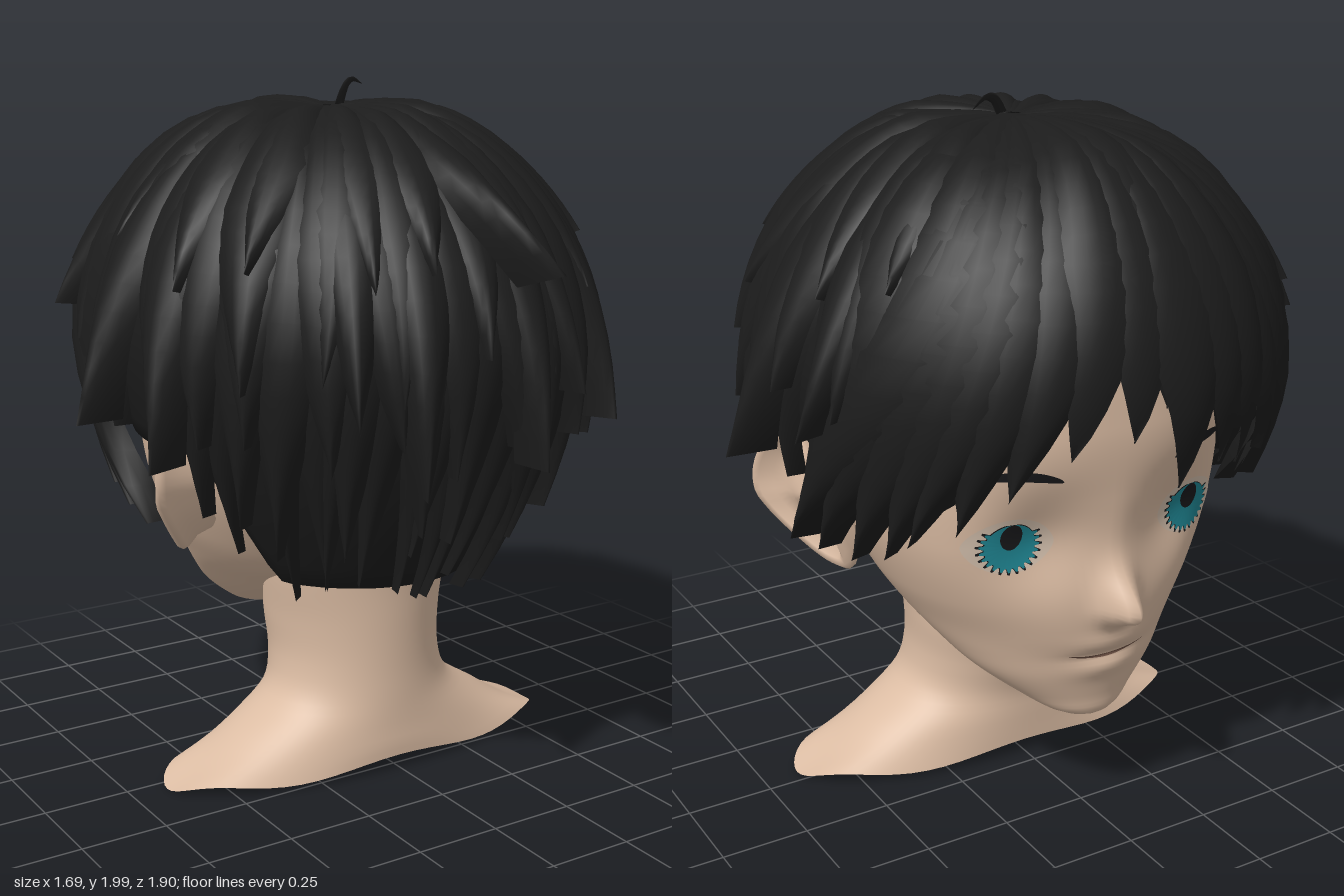
import * as THREE from 'three';

const mat = (name, color) => {
  const m = new THREE.MeshStandardMaterial({ color, side: THREE.DoubleSide });
  m.name = name;
  return m;
};
const { sin, cos, PI, sqrt, exp, abs, min, max, pow } = Math;
const lerp = THREE.MathUtils.lerp, smooth = THREE.MathUtils.smoothstep;

// Skin a list of equally long point rows; closed rows wrap around
function loft(rows, closed) {
  const n = rows[0].length, index = [];
  for (let i = 0; i < rows.length - 1; i++)
    for (let j = 0; j < (closed ? n : n - 1); j++) {
      const a = i * n + j, b = i * n + (j + 1) % n;
      index.push(a, b, a + n, b, b + n, a + n);
    }
  const g = new THREE.BufferGeometry();
  g.setAttribute('position', new THREE.Float32BufferAttribute(rows.flat(2), 3));
  g.setIndex(index);
  g.computeVertexNormals();
  return g;
}

// Smooth interpolation through [y, halfWidth, zFront, zBack] sections
function sections(table) {
  const slope = (i, k) => {
    const a = table[max(i - 1, 0)], b = table[min(i + 1, table.length - 1)];
    return (b[k] - a[k]) / (b[0] - a[0]);
  };
  return (y) => {
    let i = 0;
    while (i < table.length - 2 && y > table[i + 1][0]) i++;
    const a = table[i], b = table[i + 1], h = b[0] - a[0];
    const t = min(1, max(0, (y - a[0]) / h)), u = 1 - t;
    return [1, 2, 3].map((k) => a[k] * u * u * (1 + 2 * t) + b[k] * t * t * (3 - 2 * t)
      + h * t * u * (u * slope(i, k) - t * slope(i + 1, k)));
  };
}

const headAt = sections([
  [0.31, 0.03, -0.55, -0.49], [0.33, 0.1, -0.575, -0.42], [0.38, 0.18, -0.585, -0.28],
  [0.46, 0.28, -0.605, -0.1], [0.53, 0.34, -0.62, 0.05], [0.6, 0.39, -0.64, 0.2],
  [0.7, 0.45, -0.65, 0.3], [0.85, 0.51, -0.655, 0.42], [1.0, 0.54, -0.665, 0.5],
  [1.2, 0.55, -0.67, 0.53], [1.45, 0.52, -0.62, 0.5], [1.65, 0.41, -0.46, 0.4],
  [1.78, 0.2, -0.25, 0.2], [1.82, 0.02, -0.05, 0]]);
const neckAt = sections([
  [0.04, 0.645, -0.2, 0.29], [0.08, 0.53, -0.2, 0.29], [0.14, 0.41, -0.2, 0.285],
  [0.22, 0.295, -0.2, 0.28], [0.32, 0.26, -0.225, 0.275], [0.45, 0.265, -0.25, 0.275],
  [0.6, 0.28, -0.2, 0.28], [0.75, 0.28, -0.15, 0.3]]);

// Forward relief of nose and lips, less the eye sockets
function relief(x, y) {
  const dy = y - 0.685;
  const nose = 0.115 * exp(-pow(dy / (dy > 0 ? 0.095 : 0.045), 2)) * exp(-pow(x / 0.048, 2));
  const lips = 0.012 * exp(-pow((y - 0.485) / 0.03, 2)) + 0.012 * exp(-pow((y - 0.57) / 0.03, 2))
    - 0.012 * exp(-pow((y - 0.527) / 0.014, 2));
  const socket = 0.06 * exp(-pow((abs(x) - 0.21) / 0.14, 2)) * exp(-pow((y - 0.89) / 0.14, 2));
  return nose + lips * exp(-pow(x / 0.1, 2)) - socket;
}
// The face is flatter at eye level than at the chin
function faceZ(x, y) {
  const [w, f, b] = headAt(y), e = lerp(2, 2.5, smooth(y, 0.55, 0.88));
  return (f + b) / 2 - (b - f) / 2 * pow(max(0, 1 - pow(min(1, abs(x) / w), e)), 1 / e) - relief(x, y);
}

function ring(at, y, n, bend) {
  const [w, f, b] = at(y), row = [];
  for (let j = 0; j < n; j++) {
    const p = j / n * PI * 2, x = w * sin(p);
    row.push(bend(x, y, (f + b) / 2 + (b - f) / 2 * cos(p), p, w));
  }
  return row;
}

// Thin painted patch lying on the face
function patch(cx, cy, lift, radius, bend = 0, tilt = 0) {
  const rows = [], n = 96;
  for (let i = 0; i <= 6; i++) {
    const row = [];
    for (let j = 0; j < n; j++) {
      const [rx, ry] = radius(j / n * PI * 2, j);
      const dx = rx * cos(j / n * PI * 2) * i / 6;
      const y = cy + ry * sin(j / n * PI * 2) * i / 6 + bend * dx * dx + tilt * dx;
      row.push([cx + dx, y, faceZ(cx + dx, y) - lift]);
    }
    rows.push(row);
  }
  return loft(rows, true);
}

// Hair volume: v = 0 at the crown, 1 at the widest level, then straight down
const dropTo = (y) => y < 1.3 ? 2.3 - y : Math.acos((y - 1.3) / 0.62) * 2 / PI;
function shell(theta, v, out) {
  const y = v < 1 ? 1.3 + 0.62 * cos(v * PI / 2) : 2.3 - v;
  const s = v < 1 ? sin(v * PI / 2) : 1 - 0.39 * pow((v - 1) / 0.7, 1.6);
  const rz = lerp(0.76, 0.8, smooth(cos(theta), -0.5, 0.5));
  return [sin(theta) * (0.655 * s + out), y + (v < 1 ? out * cos(v * PI / 2) : 0),
    -0.1 + cos(theta) * (rz * s + out)];
}

// A pointed lock sweeping from angle a0 to a1 (degrees) and ending at height tipY
function lock(a0, a1, tipY, width, flare = 0.03, lift = 0, v0 = 0.03) {
  const v1 = dropTo(tipY), rows = [];
  for (let i = 0; i <= 16; i++) {
    const t = i / 16, v = lerp(v0, v1, t);
    const wide = width * min(1, 0.15 + 1.5 * t) * pow(min(1, (1 - t) / 0.42), 0.85);
    const rho = 0.75 * sin(min(v, 1) * PI / 2) + 0.05;
    const mid = lerp(a0, a1, t * t) * PI / 180, row = [];
    for (let k = -1; k <= 1; k += 0.25)
      row.push(shell(mid + k * wide / rho, v, lift * min(1, t * 3)
        + 0.04 * (1 - k * k) * min(1, t * 4) * (1 - t * 0.4) + flare * pow(t, 3.5) * (1 - 0.6 * k * k)));
    rows.push(row);
  }
  return loft(rows, false);
}

export function createModel() {
  const model = new THREE.Group();
  const skin = mat('skin', 0xdbbca3), hair = mat('hair', 0x1c1c1c), dark = mat('dark', 0x19191b);
  const eyeWhite = mat('eyeWhite', 0xd4c0ad), teal = mat('iris', 0x1f8693), lip = mat('lipLine', 0x6b4f42);
  const add = (name, geometry, material) => {
    const m = new THREE.Mesh(geometry, material);
    m.name = name;
    model.add(m);
  };

  // Head
  const headRows = [];
  for (let i = 0; i <= 110; i++)
    headRows.push(ring(headAt, 0.31 + 1.51 * i / 110, 128,
      (x, y, z, p) => [x, y, cos(p) < 0 ? faceZ(x, y) : z]));
  headRows.unshift(headRows[0].map(() => [0, 0.308, -0.52]));
  add('head', loft(headRows, true), skin);

  // Neck and shoulders with a wavy lower edge
  const neckRows = [];
  for (let i = 0; i <= 32; i++)
    neckRows.push(ring(neckAt, 0.04 + 0.71 * i / 32, 72, (x, y, z, p, w) => {
      const low = 1 - smooth(y, 0.04, 0.14);
      return [x, y + low * (0.012 * cos(6 * p) - 0.02 * pow(x / w, 2)), z];
    }));
  add('neckAndShoulders', loft(neckRows, true), skin);

  // Ears: rim, hollow and attachment
  const outline = new THREE.CatmullRomCurve3([[0.02, 1.09], [0.1, 1.05], [0.145, 0.94], [0.12, 0.84],
    [0.05, 0.75], [-0.03, 0.69], [-0.085, 0.69], [-0.09, 0.82], [-0.06, 1.0]]
    .map(([z, y]) => new THREE.Vector3(0, y, z)), true).getPoints(40).slice(0, 40);
  for (const s of [1, -1]) {
    const rows = [[0.7, -0.14], [0.82, -0.06], [0.97, -0.02], [1, 0], [0.95, 0.012], [0.85, 0.005],
      [0.74, -0.025], [0.5, -0.035], [0.25, -0.025], [0, -0.02]].map(([k, out]) => outline.map((p) => {
      const z = 0.01 + (p.z - 0.01) * k, y = 0.9 + (p.y - 0.9) * k;
      return [s * (0.54 + 0.1 * (z + 0.08) / 0.22 + 0.08 * min(1, (y - 0.68) / 0.2) - 0.03 + out), y, z];
    }));
    add(s > 0 ? 'leftEar' : 'rightEar', loft(rows, true), skin);
  }

  // Eyes and brows
  for (const s of [1, -1]) {
    const ex = s * 0.285, side = s > 0 ? 'left' : 'right';
    const almond = (p) => [0.118, 0.08 * pow(abs(sin(p)), 0.25)];
    const teeth = (a, b) => (p, j) => {
      const k = sin(p) < 0.6 && j % 4 < 2 ? a : b;
      return [k, min(k * 0.95, sin(p) > 0 ? 0.064 / sin(p) : 1)];
    };
    add(side + 'EyeWhite', patch(ex, 0.89, 0.003, almond), eyeWhite);
    add(side + 'Lashes', patch(ex, 0.89, 0.005, teeth(0.088, 0.07)), dark);
    add(side + 'Iris', patch(ex, 0.89, 0.007, teeth(0.08, 0.068)), teal);
    add(side + 'Pupil', patch(ex, 0.917, 0.009, () => [0.03, 0.038]), dark);
    add(side + 'Brow', patch(s * 0.28, 1.1, 0.005, () => [0.105, 0.014], -1.5, s * 0.08), dark);
  }
  add('mouthLine', patch(0, 0.524, 0.003, () => [0.12, 0.004], 1.2), lip);

  // Hair cap following the hairline, turned in underneath
  const hairline = (deg) => deg < 75 ? lerp(0.61, 0.98, smooth(deg, 55, 75))
    : lerp(0.98, 1.42, smooth(deg, 122, 165));
  const capRows = [];
  for (let i = 0; i <= 25; i++) {
    const row = [];
    for (let j = 0; j < 96; j++) {
      const th = (j / 96 - 0.5) * 2 * PI;
      const p = shell(th, dropTo(hairline(abs(th) * 180 / PI)) * min(i, 24) / 24, -0.01);
      if (i === 25) { p[0] *= 0.6; p[2] = -0.1 + (p[2] + 0.1) * 0.6; }
      row.push(p);
    }
    capRows.push(row);
  }
  add('hairCap', loft(capRows, true), hair);

  let seed = 7;
  const rnd = (a) => ((seed = (seed * 16807) % 2147483647) / 2147483647 * 2 - 1) * a;

  // Layered locks round the back and sides: [count, reach, tip height, width, flare, lift]
  const layers = [[15, 60, 0.6, 0.11, 0.03, 0], [13, 66, 0.78, 0.13, 0.06, 0.01],
    [15, 94, 1.03, 0.14, 0.07, 0.015], [13, 108, 1.26, 0.14, 0.05, 0.02], [12, 118, 1.5, 0.13, 0.04, 0.02]];
  layers.forEach(([n, reach, y, w, flare, lift], layer) => {
    for (let i = 0; i < n; i++) {
      const a = lerp(-reach, reach, i / (n - 1)) + rnd(3);
      const tip = max(y + rnd(0.06), hairline(abs(a)) - 0.03);
      add('hairLayer' + (layer + 1), lock(a, a + rnd(6), tip, w, flare + rnd(0.02), lift, 0.05 + rnd(0.04)), hair);
    }
  });

  // Stray spikes: [start angle, tip angle, tip height, width, flare]
  const spikes = [[90, 86, 1.07, 0.13, 0.2], [110, 106, 1.2, 0.13, 0.14], [78, 70, 1.15, 0.13, 0.09],
    [-90, -86, 1.09, 0.13, 0.2], [-76, -69, 1.0, 0.13, 0.2], [-114, -112, 1.35, 0.13, 0.1],
    [0, 0, 1.47, 0.11, 0.28], [16, 18, 1.2, 0.12, 0.11], [-18, -19, 0.98, 0.12, 0.2],
    [-34, -31, 1.15, 0.12, 0.13], [8, 6, 1.02, 0.12, 0.18], [36, 30, 1.1, 0.12, 0.16]];
  for (const [a, b, y, w, f] of spikes) add('hairSpike', lock(a, b, y, w, f, 0.01), hair);

  // Fringe swept from the parting to both temples
  const fringe = [[140, 82, 0.78, 0.24, 0.11], [138, 96, 0.8, 0.24, 0.08], [140, 106, 0.83, 0.22, 0.07],
    [144, 116, 0.86, 0.2, 0.06], [148, 124, 0.91, 0.18, 0.05], [152, 133, 0.98, 0.17, 0.03],
    [159, 144, 1.08, 0.16, 0.01], [122, 100, 0.95, 0.2, 0.05], [132, 116, 1.02, 0.2, 0.04]];
  for (const s of [1, -1])
    for (const [a, b, y, w, f] of fringe)
      add('fringe', lock(s * (a + rnd(2)), s * (b + rnd(2)), y + rnd(0.015), w, f, 0.03), hair);
  for (const [a, b, y, w] of [[168, 157, 1.2, 0.15], [174, 170, 1.24, 0.15], [181, 184, 1.08, 0.16],
    [188, 196, 1.12, 0.15], [196, 206, 1.08, 0.14], [180, 177, 1.32, 0.18]])
    add('frontFringe', lock(a, b, y, w, -0.05, 0.05), hair);

  // Small curl on the crown
  const curl = new THREE.CatmullRomCurve3([[0.02, 1.92, -0.08], [0.07, 1.965, -0.13],
    [0.14, 1.988, -0.2], [0.23, 1.97, -0.28]].map((p) => new THREE.Vector3(...p)));
  add('crownCurl', loft(curl.getPoints(10).map((p, i) => {
    const r = 0.036 * (1 - pow(i / 10, 2));
    return [0, 1, 2, 3, 4, 5].map((k) => {
      const c = cos(k * PI / 3) * r;
      return [p.x + c * 0.8, p.y + sin(k * PI / 3) * r * 0.4, p.z - c * 0.6];
    });
  }), true), hair);

  return model;
}
